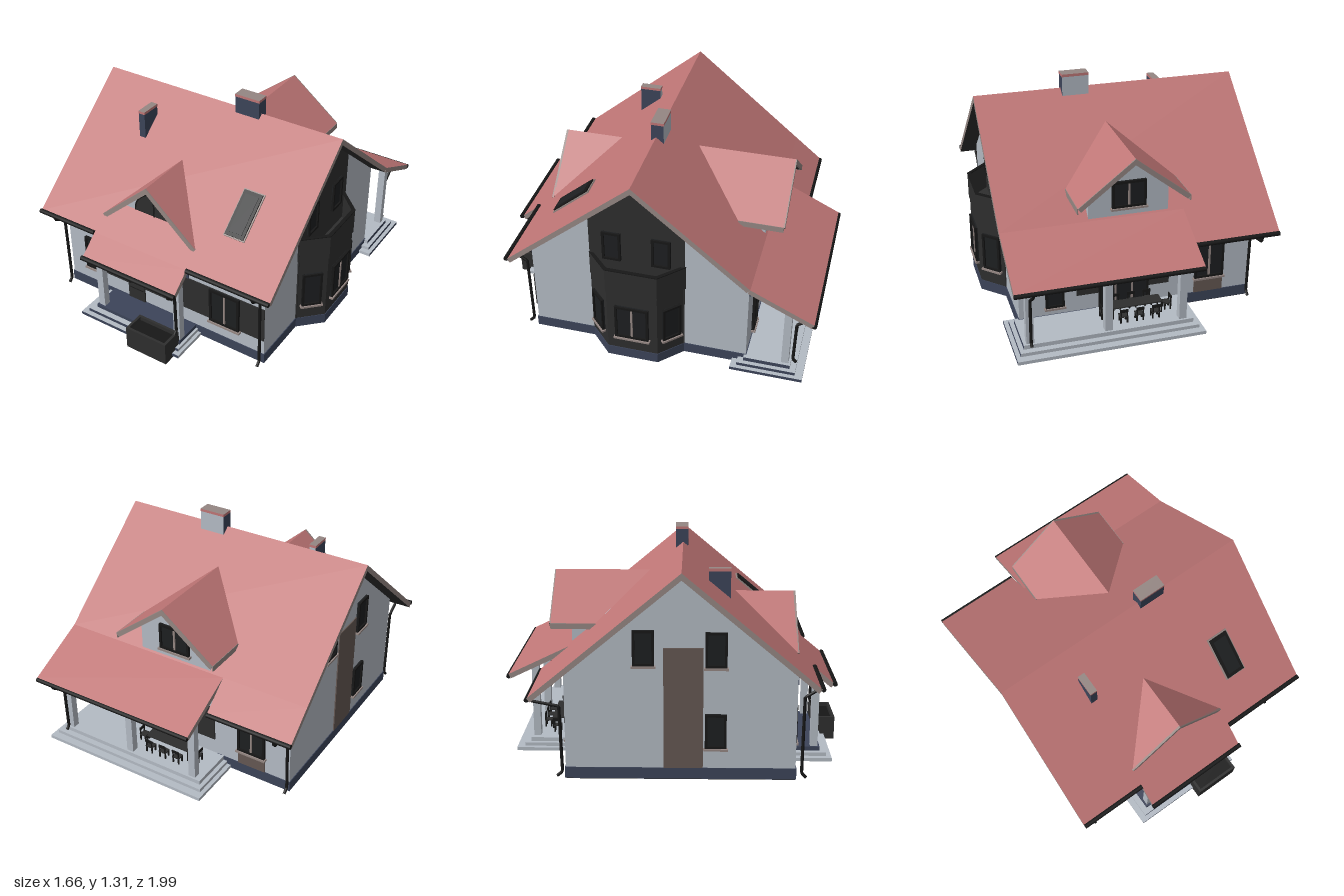
import * as THREE from 'three';

const mat = (name, color, side = THREE.FrontSide) => {
  const m = new THREE.MeshStandardMaterial({ color, side });
  m.name = name;
  return m;
};
const wall = mat('pale wall', 0xb4bbc4), red = mat('roof red', 0xbf7676), navy = mat('slate navy', 0x3c4459);
const char = mat('charcoal', 0x2e2e2e), black = mat('black metal', 0x171717), taupe = mat('taupe trim', 0x958783);
const glass = mat('dark glass', 0x1d1f21), brown = mat('brown stone', 0x655853);

export function createModel() {
  const root = new THREE.Group();
  root.name = 'house';
  const add = (name, geo, m, parent = root) => {
    const mesh = new THREE.Mesh(geo, m);
    mesh.name = name;
    parent.add(mesh);
    return mesh;
  };
  // box from its limits
  const box = (name, m, x0, x1, y0, y1, z0, z1, parent = root) => {
    const b = add(name, new THREE.BoxGeometry(x1 - x0, y1 - y0, z1 - z0), m, parent);
    b.position.set((x0 + x1) / 2, (y0 + y1) / 2, (z0 + z1) / 2);
    return b;
  };
  const shape = pts => new THREE.Shape(pts.map(p => new THREE.Vector2(...p)));
  const extrude = (s, depth) => new THREE.ExtrudeGeometry(s, { depth, bevelEnabled: false, curveSegments: 16 });
  // (z, y) profile extruded along x
  const alongX = (name, m, pts, x0, x1) => {
    const g = extrude(shape(pts.map(([z, y]) => [-z, y])), x1 - x0).rotateY(Math.PI / 2);
    add(name, g, m).position.x = x0;
  };
  // (x, z) plan extruded upward
  const upward = (name, m, pts, y0, y1, hole) => {
    const s = shape(pts.map(([x, z]) => [x, -z]));
    if (hole) s.holes.push(new THREE.Path(hole.map(([x, z]) => new THREE.Vector2(x, -z))));
    add(name, extrude(s, y1 - y0).rotateX(-Math.PI / 2), m).position.y = y0;
  };

  // Plinth, walls and gable colour panels
  box('plinth', navy, -0.725, 0.685, 0.015, 0.08, -0.605, 0.695);
  box('underside', char, -0.72, 0.68, 0.01, 0.015, -0.6, 0.69);
  alongX('walls', wall, [[0.69, 0.08], [0.69, 0.64], [0.05, 1.175], [-0.6, 0.635], [-0.6, 0.08]], -0.72, 0.68);
  alongX('darkGablePanel', char, [[0.33, 0.08], [0.33, 0.94], [0.05, 1.174], [-0.23, 0.94], [-0.23, 0.08]], 0.68, 0.687);
  box('stoneStrip', brown, -0.727, -0.72, 0.08, 0.78, -0.05, 0.17);
  box('frontBand', char, -0.48, 0.68, 0.18, 0.41, 0.69, 0.696);
  box('porchWallTop', navy, -0.34, 0.17, 0.41, 0.56, 0.69, 0.696);
  box('frontFriezeLeft', navy, -0.7, -0.41, 0.565, 0.635, 0.69, 0.696);
  box('frontFriezeRight', navy, 0.24, 0.67, 0.55, 0.635, 0.69, 0.696);
  box('backBand', char, -0.22, 0.34, 0.18, 0.41, -0.606, -0.6);
  box('backFrieze', navy, -0.25, 0.67, 0.52, 0.62, -0.606, -0.6);
  box('backPanel', brown, -0.56, -0.38, 0.08, 0.175, -0.606, -0.6);

  // Roof slabs: red above, taupe edges, charcoal soffit
  const roofMats = [taupe, taupe, red, char, taupe, taupe];
  const slab = (name, x0, x1, z0, y0, z1, y1, t = 0.03) => {
    const a = Math.atan2(y0 - y1, z1 - z0);
    const s = add(name, new THREE.BoxGeometry(x1 - x0, t, Math.hypot(z1 - z0, y1 - y0)), roofMats);
    s.rotation.x = a;
    s.position.set((x0 + x1) / 2, (y0 + y1) / 2 - Math.cos(a) * t / 2, (z0 + z1) / 2 - Math.sin(a) * t / 2);
  };
  const frontY = z => 1.215 - (z - 0.05) * 0.835;
  slab('frontRoof', -0.82, 0.775, 0.05, 1.215, 0.81, frontY(0.81));
  slab('frontPorchRoof', -0.41, 0.24, 0.81, frontY(0.81), 0.935, frontY(0.935));
  slab('backRoof', -0.82, 0.775, -0.62, 0.66, 0.05, 1.215);
  slab('backRoofEave', -0.82, -0.29, -0.79, 0.52, -0.62, 0.66);
  slab('backPorchRoof', -0.29, 0.775, -0.985, 0.485, -0.62, 0.66);

  // Gutters
  const gutter = (x0, x1, y, z) => {
    const g = add('gutter', new THREE.CylinderGeometry(0.014, 0.014, x1 - x0, 10).rotateZ(Math.PI / 2), black);
    g.position.set((x0 + x1) / 2, y, z);
  };
  gutter(-0.82, -0.41, 0.58, 0.815);
  gutter(0.24, 0.775, 0.58, 0.815);
  gutter(-0.415, 0.245, 0.475, 0.938);
  gutter(-0.82, -0.29, 0.51, -0.79);
  gutter(-0.29, 0.775, 0.472, -0.985);

  // Downpipes as short bent runs
  const pipe = (x, pts) => {
    const path = new THREE.CurvePath();
    const v = pts.map(([z, y]) => new THREE.Vector3(x, y, z));
    for (let i = 1; i < v.length; i++) path.add(new THREE.LineCurve3(v[i - 1], v[i]));
    add('downpipe', new THREE.TubeGeometry(path, 40, 0.009, 8), black);
  };
  for (const x of [-0.715, 0.67]) pipe(x, [[0.815, 0.575], [0.81, 0.55], [0.73, 0.5], [0.725, 0.05], [0.75, 0.025]]);
  pipe(0.2, [[0.94, 0.47], [0.94, 0.45], [0.875, 0.4], [0.87, 0.16], [0.89, 0.14]]);
  pipe(0.67, [[-0.985, 0.47], [-0.97, 0.44], [-0.88, 0.37], [-0.875, 0.1], [-0.895, 0.08]]);
  pipe(-0.715, [[-0.79, 0.51], [-0.785, 0.47], [-0.63, 0.44], [-0.62, 0.05], [-0.65, 0.025]]);

  // Windows: frame bars, glass and sill, facing +z before turning
  const win = (x, y, z, w, h, turn = 0, panes = 1, sill = true) => {
    const g = new THREE.Group();
    g.name = 'window';
    g.position.set(x, y, z);
    g.rotation.y = turn;
    root.add(g);
    const a = w / 2, b = h / 2, t = 0.014;
    box('glass', glass, -a, a, -b, b, 0, 0.008, g);
    for (const s of [-1, 1]) {
      box('frameSide', black, s * (a - t / 2) - t / 2, s * (a - t / 2) + t / 2, -b, b, 0, 0.018, g);
      box('frameRail', black, -a, a, s * (b - t / 2) - t / 2, s * (b - t / 2) + t / 2, 0, 0.018, g);
    }
    for (let i = 1; i < panes; i++) box('mullion', taupe, -a + w * i / panes - 0.006, -a + w * i / panes + 0.006, -b + 0.014, b - 0.014, 0, 0.014, g);
    if (sill) box('sill', taupe, -a - 0.008, a + 0.008, -b - 0.012, -b, 0, 0.026, g);
  };
  const Q = Math.PI / 2;
  win(-0.535, 0.295, 0.69, 0.115, 0.225);
  win(0.42, 0.295, 0.694, 0.2, 0.23, 0, 2);
  win(0.04, 0.34, 0.694, 0.13, 0.14);
  for (const z of [0.195, -0.095]) win(0.685, 0.74, z, 0.11, 0.19, Q, 1, false);
  win(-0.72, 0.78, -0.16, 0.12, 0.2, -Q);
  win(-0.72, 0.77, 0.24, 0.12, 0.2, -Q);
  win(-0.72, 0.3, 0.24, 0.12, 0.2, -Q);
  win(-0.47, 0.295, -0.6, 0.18, 0.23, 2 * Q, 2);
  win(0.47, 0.27, -0.6, 0.11, 0.28, 2 * Q);
  win(0.06, 0.25, -0.604, 0.3, 0.33, 2 * Q, 3, false);

  // Front door
  box('frontDoor', char, -0.275, -0.155, 0.08, 0.37, 0.69, 0.7);
  for (const y of [0.16, 0.24, 0.32]) box('doorGroove', black, -0.265, -0.165, y, y + 0.004, 0.7, 0.703);
  box('doorHandle', black, -0.262, -0.25, 0.2, 0.225, 0.7, 0.712);

  // Bay with balcony
  const bay = o => [[0.68, 0.33 + o], [0.81 + o, 0.2 + o * 0.4], [0.81 + o, -0.1 - o * 0.4], [0.68, -0.23 - o]];
  upward('bayPlinth', navy, bay(0.004), 0.015, 0.08);
  upward('bay', char, bay(0), 0.08, 0.505);
  upward('balconyParapet', char, bay(0.006), 0.505, 0.66, [[0.682, 0.31], [0.796, 0.195], [0.796, -0.095], [0.682, -0.21]]);
  upward('parapetRail', black, bay(0.008), 0.66, 0.665, [[0.682, 0.31], [0.796, 0.195], [0.796, -0.095], [0.682, -0.21]]);
  win(0.81, 0.295, 0.05, 0.2, 0.23, Q, 2);
  win(0.745, 0.295, 0.265, 0.12, 0.23, Q / 2);
  win(0.745, 0.295, -0.165, 0.12, 0.23, 1.5 * Q);

  // Dormers: two planes with soffits and verge boards
  const plane = (name, m, pts, up, dy = 0) => {
    const v = pts.map(p => new THREE.Vector3(p[0], p[1] + dy, p[2]));
    const n = v[1].clone().sub(v[0]).cross(v[2].clone().sub(v[0]));
    if (n.y * up < 0) v.reverse();
    const tri = [];
    for (let i = 1; i < v.length - 1; i++) tri.push(v[0], v[i], v[i + 1]);
    const g = new THREE.BufferGeometry().setFromPoints(tri);
    g.computeVertexNormals();
    add(name, g, m);
  };
  const dormer = (name, cx, half, yTop, yEave, zRidge, zValley, zEnd) => {
    for (const s of [-1, 1]) {
      const pts = [[cx, yTop, zRidge], [cx, yTop, zEnd], [cx + s * half, yEave, zEnd]];
      if (zValley !== zEnd) pts.push([cx + s * half, yEave, zValley]);
      plane(name + 'Roof', red, pts, 1);
      plane(name + 'Soffit', char, pts, -1, -0.035);
      if (zValley !== zEnd) box(name + 'EaveEdge', taupe, cx + s * half - 0.003, cx + s * half + 0.003, yEave - 0.035, yEave, zEnd, zValley);
      const a = Math.atan2(yTop - yEave, half);
      const v = add(name + 'Verge', new THREE.BoxGeometry(Math.hypot(half, yTop - yEave), 0.028, 0.012), taupe);
      v.rotation.z = -s * a;
      v.position.set(cx + s * (half / 2 - Math.sin(a) * 0.014), (yTop + yEave) / 2 - Math.cos(a) * 0.014, zEnd);
    }
  };
  dormer('backDormer', 0.035, 0.325, 1.055, 0.8, -0.15, -0.46, -0.725);
  dormer('frontDormer', -0.085, 0.325, 0.955, 0.662, 0.365, 0.718, 0.718);
  add('backDormerWall', extrude(shape([[-0.2, 0.62], [0.27, 0.62], [0.27, 0.835], [0.035, 1.018], [-0.2, 0.835]]), 0.3), wall).position.z = -0.61;
  win(0.035, 0.8, -0.61, 0.2, 0.16, 2 * Q, 2);
  add('frontDormerWall', extrude(shape([[-0.355, 0.68], [0.185, 0.68], [-0.085, 0.918]]), 0.09), wall).position.z = 0.555;
  const arch = r => new THREE.Shape().absarc(0, 0, r, 0, Math.PI);
  add('archFrame', extrude(arch(0.142), 0.008), black).position.set(-0.085, 0.722, 0.645);
  add('archGlass', extrude(arch(0.128), 0.004), char).position.set(-0.085, 0.728, 0.653);
  box('archMullion', black, -0.089, -0.081, 0.722, 0.86, 0.653, 0.66);

  // Roof window
  const sky = new THREE.Group();
  sky.name = 'roofWindow';
  sky.position.set(0.425, frontY(0.5), 0.5);
  sky.rotation.x = Math.atan(0.835);
  root.add(sky);
  box('roofWindowEdge', taupe, -0.068, 0.068, -0.01, 0.008, -0.145, 0.145, sky);
  box('roofWindowFrame', black, -0.06, 0.06, 0, 0.016, -0.137, 0.137, sky);
  box('roofWindowGlass', glass, -0.042, 0.042, 0.01, 0.019, -0.115, 0.115, sky);

  // Chimneys
  const stack = [navy, navy, navy, navy, navy, wall], cap = [red, red, taupe, red, red, red];
  const chimney = (x0, x1, y0, y1, z0, z1) => {
    box('chimney', stack, x0, x1, y0, y1 - 0.016, z0, z1);
    box('chimneyCap', cap, x0 - 0.001, x1 + 0.001, y1 - 0.016, y1, z0 - 0.001, z1 + 0.001);
  };
  chimney(0.095, 0.255, 1.1, 1.31, 0.005, 0.08);
  chimney(-0.42, -0.378, 0.95, 1.157, 0.2, 0.325);

  // Porches: stepped platforms and posts
  const frontStep = [navy, navy, navy, char, navy, navy], backStep = [navy, wall, wall, char, wall, wall];
  const edge = [wall, wall, wall, char, navy, wall];
  box('frontStep', edge, -0.465, 0.25, 0.015, 0.035, 0.66, 0.93);
  box('frontStep', edge, -0.43, 0.23, 0.035, 0.055, 0.66, 0.9);
  box('frontPorchFloor', frontStep, -0.395, 0.215, 0.055, 0.078, 0.66, 0.865);
  box('backStep', backStep, -0.33, 0.76, 0.015, 0.035, -0.945, -0.52);
  box('backStep', backStep, -0.305, 0.735, 0.035, 0.055, -0.9, -0.555);
  box('backPorchFloor', backStep, -0.28, 0.71, 0.055, 0.08, -0.865, -0.59);
  for (const x of [-0.363, 0.19]) box('frontPost', wall, x - 0.022, x + 0.022, 0.07, 0.525, 0.81, 0.853);
  for (const x of [-0.22, 0.22, 0.67]) box('backPost', wall, x - 0.022, x + 0.022, 0.08, 0.53, -0.853, -0.81);

  // Planter
  upward('planter', char, [[-0.07, 0.995], [0.208, 0.995], [0.208, 0.86], [-0.07, 0.86]], 0, 0.145,
    [[-0.055, 0.98], [0.193, 0.98], [0.193, 0.875], [-0.055, 0.875]]);
  box('planterSoil', black, -0.056, 0.194, 0.01, 0.12, 0.874, 0.981);

  // Porch table and chairs
  const furniture = (name, x, z, w, d, h, turn) => {
    const g = new THREE.Group();
    g.name = name;
    g.position.set(x, 0.08, z);
    g.rotation.y = turn;
    root.add(g);
    box('top', char, -w, w, h - 0.007, h, -d, d, g);
    for (const sx of [-1, 1]) for (const sz of [-1, 1]) {
      const lx = sx * (w - 0.005), lz = sz * (d - 0.005);
      box('leg', black, lx - 0.004, lx + 0.004, 0, h, lz - 0.004, lz + 0.004, g);
    }
    if (name === 'chair') {
      box('backrest', black, -w, w, 0.07, 0.088, -d, -d + 0.006, g);
      for (const s of [-1, 1]) box('backBar', black, s * 0.018 - 0.003, s * 0.018 + 0.003, h, 0.075, -d, -d + 0.006, g);
    }
  };
  furniture('table', 0.02, -0.715, 0.15, 0.04, 0.075, 0);
  for (const x of [-0.075, 0.02, 0.115]) {
    furniture('chair', x, -0.785, 0.024, 0.022, 0.045, 0);
    furniture('chair', x, -0.645, 0.024, 0.022, 0.045, Math.PI);
  }
  furniture('chair', -0.17, -0.715, 0.024, 0.022, 0.045, Q);
  furniture('chair', 0.21, -0.715, 0.024, 0.022, 0.045, -Q);

  return root;
}
